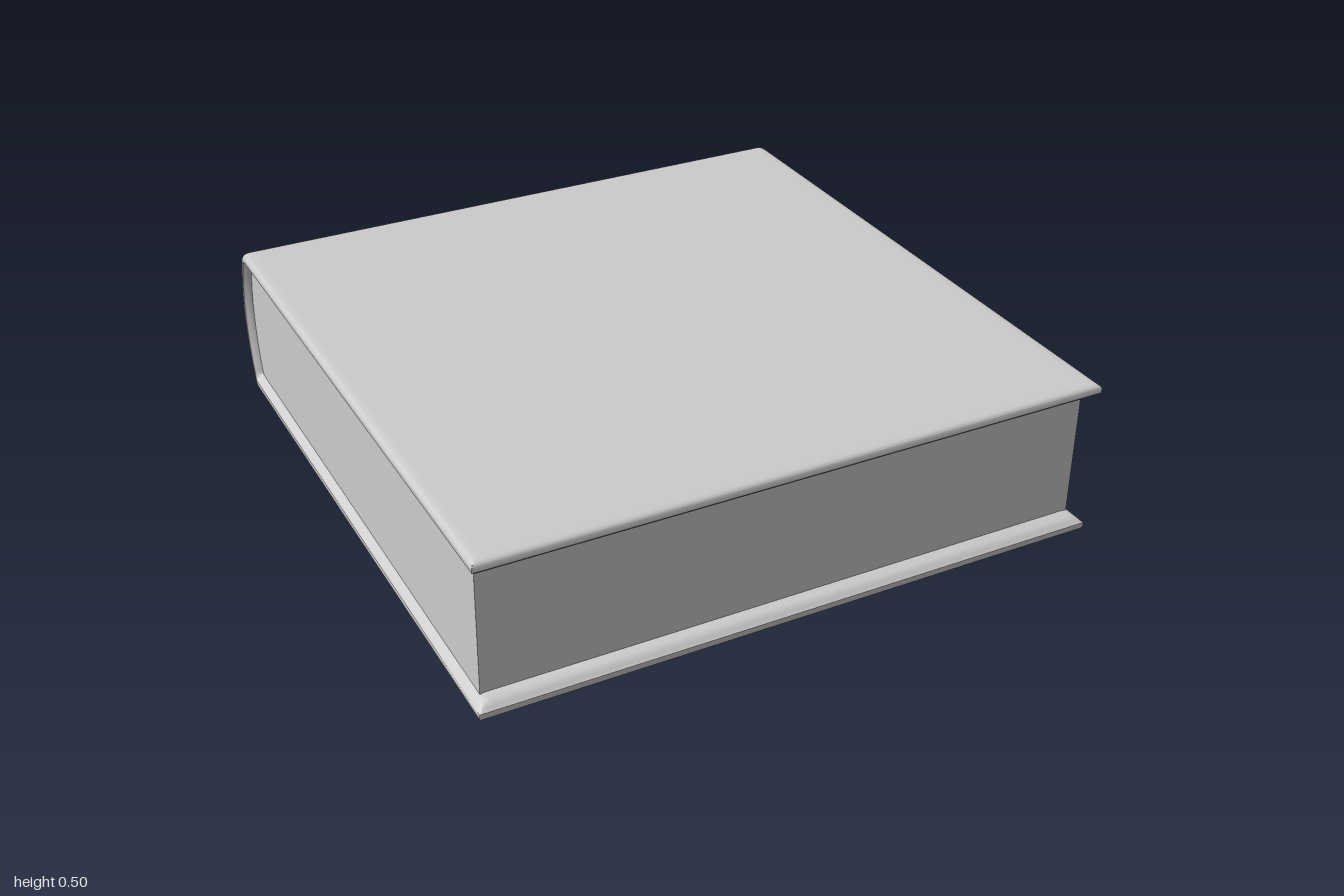
import * as THREE from 'three';
import { toCreasedNormals } from 'three/addons/utils/BufferGeometryUtils.js';

const H = 0.505, MID = H / 2, HALF_X = 0.975;
const material = new THREE.MeshStandardMaterial({ color: 0xcccccc });

// Rounded board edge: [distance from edge, inset of outer face, inset of inner face]
const EDGE = [
  [0, 0.012, 0.022], [0.003, 0.007, 0.020], [0.008, 0.003, 0.015],
  [0.015, 0.001, 0.008], [0.025, 0, 0.003], [0.04, 0, 0],
];

const spineBack = (s, back, bulge) => back + bulge * s * s;

// Cover section as pairs of outer and inner points (z, y), front top to front bottom
function coverSection() {
  const top = EDGE.map(([d, o, i]) => ({ o: [1 - d, H], i: [1 - d, H - 0.05], inset: [o, i] }));
  const hinge = [
    [-0.92, 0.505, -0.915, 0.455], [-0.937, 0.502, -0.925, 0.455],
    [-0.949, 0.491, -0.93, 0.453], [-0.956, 0.473, -0.933, 0.449],
  ];
  for (const [oz, oy, iz, iy] of hinge) top.push({ o: [oz, oy], i: [iz, iy], inset: [0, 0] });
  const arc = [];
  for (let k = 0; k <= 16; k++) {
    const s = 1 - k / 8;
    arc.push({
      o: [spineBack(s, -1, 0.04), MID + 0.2 * s],
      i: [spineBack(s, -0.965, 0.03), MID + 0.19 * s],
      inset: [0, 0],
    });
  }
  const flip = ([z, y]) => [z, H - y];
  const bottom = top.map(p => ({ o: flip(p.o), i: flip(p.i), inset: p.inset })).reverse();
  return [...top, ...arc, ...bottom];
}

// Loft the section along x, thinning it towards both ends
function coverGeometry() {
  const section = coverSection(), n = section.length, loop = 2 * n;
  const left = EDGE.map(([d, o, i]) => ({ x: -HALF_X + d, o, i }));
  const rings = [...left, ...left.map(r => ({ ...r, x: -r.x })).reverse()];
  const pos = [], index = [];

  for (const r of rings) {
    const outer = [], inner = [];
    for (const p of section) {
      const dz = p.i[0] - p.o[0], dy = p.i[1] - p.o[1], len = Math.hypot(dz, dy);
      const fit = Math.min(1, len / 0.05);
      const a = Math.max(p.inset[0], r.o) * fit / len;
      const b = 1 - Math.max(p.inset[1], r.i) * fit / len;
      outer.push([r.x, p.o[1] + dy * a, p.o[0] + dz * a]);
      inner.push([r.x, p.o[1] + dy * b, p.o[0] + dz * b]);
    }
    for (const v of [...outer, ...inner.reverse()]) pos.push(...v);
  }
  for (let k = 0; k < rings.length - 1; k++) {
    for (let j = 0; j < loop; j++) {
      const a = k * loop + j, b = k * loop + (j + 1) % loop;
      index.push(a, a + loop, b, b, a + loop, b + loop);
    }
  }
  // End caps between outer and inner lines
  const last = (rings.length - 1) * loop;
  for (let j = 0; j < n - 1; j++) {
    const a = j, b = j + 1, c = loop - 2 - j, d = loop - 1 - j;
    index.push(a, b, c, a, c, d);
    index.push(last + a, last + c, last + b, last + a, last + d, last + c);
  }
  const g = new THREE.BufferGeometry();
  g.setAttribute('position', new THREE.Float32BufferAttribute(pos, 3));
  g.setIndex(index);
  return toCreasedNormals(g, 0.8);
}

// Page block with a rounded back that sits inside the spine
function pagesGeometry() {
  const shape = new THREE.Shape();
  shape.moveTo(0.945, 0.04);
  shape.lineTo(0.945, H - 0.04);
  shape.lineTo(-0.925, H - 0.04);
  for (let k = 0; k <= 16; k++) {
    const s = 1 - k / 8;
    shape.lineTo(spineBack(s, -0.968, 0.03), MID + 0.19 * s);
  }
  shape.lineTo(-0.925, 0.04);
  shape.closePath();
  const g = new THREE.ExtrudeGeometry(shape, { depth: 1.9, bevelEnabled: false });
  g.translate(0, 0, -0.95);
  g.rotateY(-Math.PI / 2);
  return toCreasedNormals(g, 0.5);
}

export function createModel() {
  const book = new THREE.Group();
  book.name = 'book';
  const cover = new THREE.Mesh(coverGeometry(), material);
  cover.name = 'cover';
  const pages = new THREE.Mesh(pagesGeometry(), material);
  pages.name = 'pages';
  book.add(cover, pages);
  return book;
}
